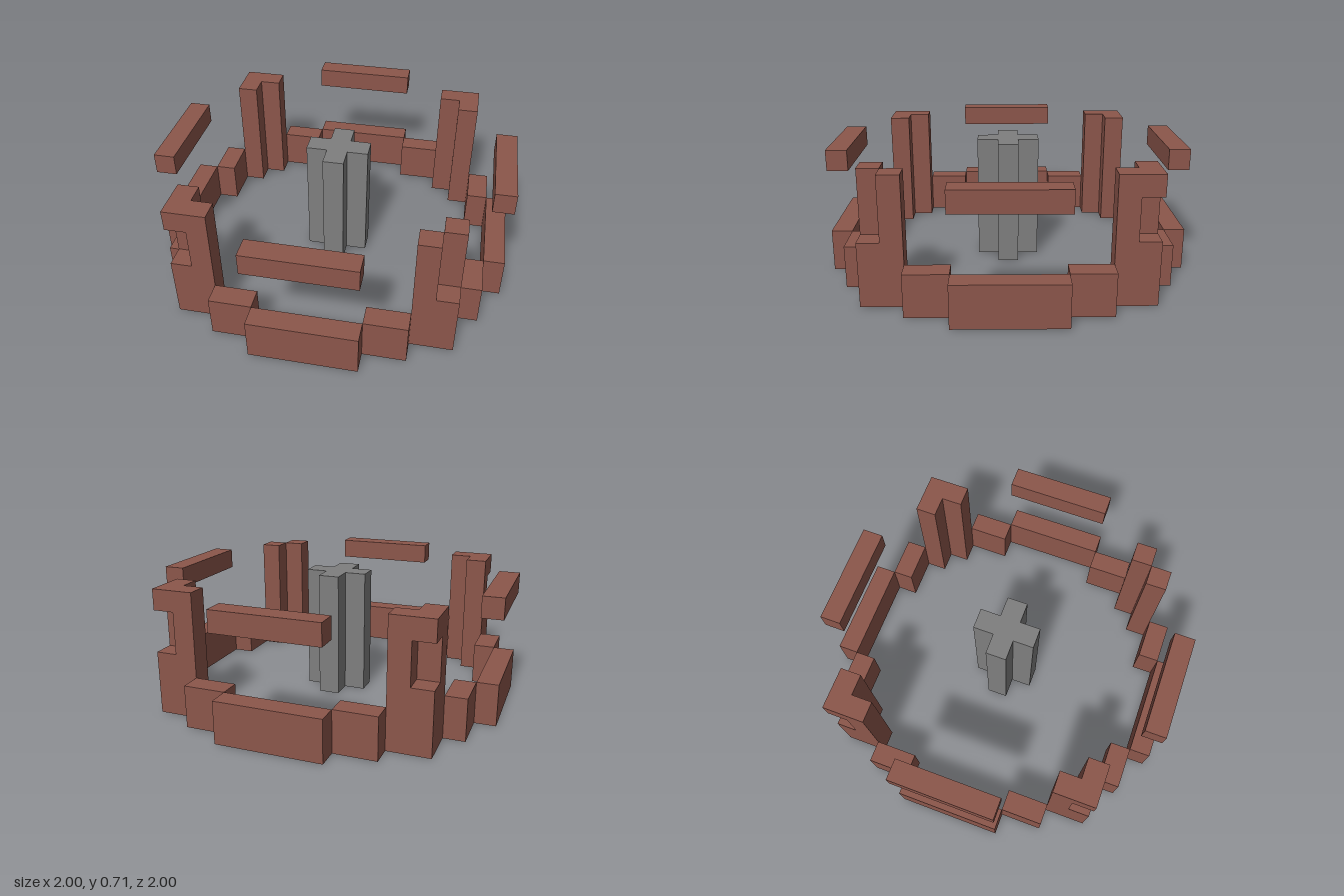
import * as THREE from 'three';

const U = 2 / 17; // one block

// Vertical prism over a floor outline of [x, z] points, from y0 to y1, in blocks
function prism(name, outline, y0, y1, material) {
  const shape = new THREE.Shape(outline.map(([x, z]) => new THREE.Vector2(x * U, -z * U)));
  const geometry = new THREE.ExtrudeGeometry(shape, { depth: (y1 - y0) * U, bevelEnabled: false });
  geometry.rotateX(-Math.PI / 2).translate(0, y0 * U, 0);
  const mesh = new THREE.Mesh(geometry, material);
  mesh.name = name;
  return mesh;
}

const rect = (x0, x1, z0, z1) => [[x0, z0], [x1, z0], [x1, z1], [x0, z1]];

export function createModel() {
  const brown = new THREE.MeshStandardMaterial({ color: 0x8c564b });
  brown.name = 'brown';
  const grey = new THREE.MeshStandardMaterial({ color: 0x7f7f7f });
  grey.name = 'grey';

  const model = new THREE.Group();
  model.name = 'ringWithPillar';

  // Central plus-shaped pillar
  const plus = [
    [0.5, 0.5], [1.5, 0.5], [1.5, -0.5], [0.5, -0.5], [0.5, -1.5], [-0.5, -1.5],
    [-0.5, -0.5], [-1.5, -0.5], [-1.5, 0.5], [-0.5, 0.5], [-0.5, 1.5], [0.5, 1.5],
  ];
  model.add(prism('centrePillar', plus, 0, 6, grey));

  const corner = [[4.5, 5.5], [5.5, 5.5], [5.5, 4.5], [6.5, 4.5], [6.5, 6.5], [4.5, 6.5]];

  // Four quarter turns of wall, floating beam and corner post
  for (let k = 0; k < 4; k++) {
    const quarter = new THREE.Group();
    quarter.name = `quarter${k + 1}`;
    quarter.rotation.y = (k * Math.PI) / 2;
    quarter.add(
      prism('longWall', rect(-2.5, 2.5, 7.5, 8.5), 0, 2, brown),
      prism('stepWallA', rect(2.5, 4.5, 6.5, 7.5), 0, 2, brown),
      prism('stepWallB', rect(-4.5, -2.5, 6.5, 7.5), 0, 2, brown),
      prism('floatingBeam', rect(-2.5, 2.5, 7.5, 8.5), 5, 6, brown),
      prism('postBase', corner, 0, 3, brown),
    );
    // The first post has no cap, so its notch is open at the top
    const armTop = k === 0 ? 6 : 5;
    quarter.add(
      prism('postArmA', rect(4.5, 5.5, 5.5, 6.5), 3, armTop, brown),
      prism('postArmB', rect(5.5, 6.5, 4.5, 5.5), 3, armTop, brown),
    );
    if (k > 0) quarter.add(prism('postCap', corner, 5, 6, brown));
    model.add(quarter);
  }
  return model;
}
